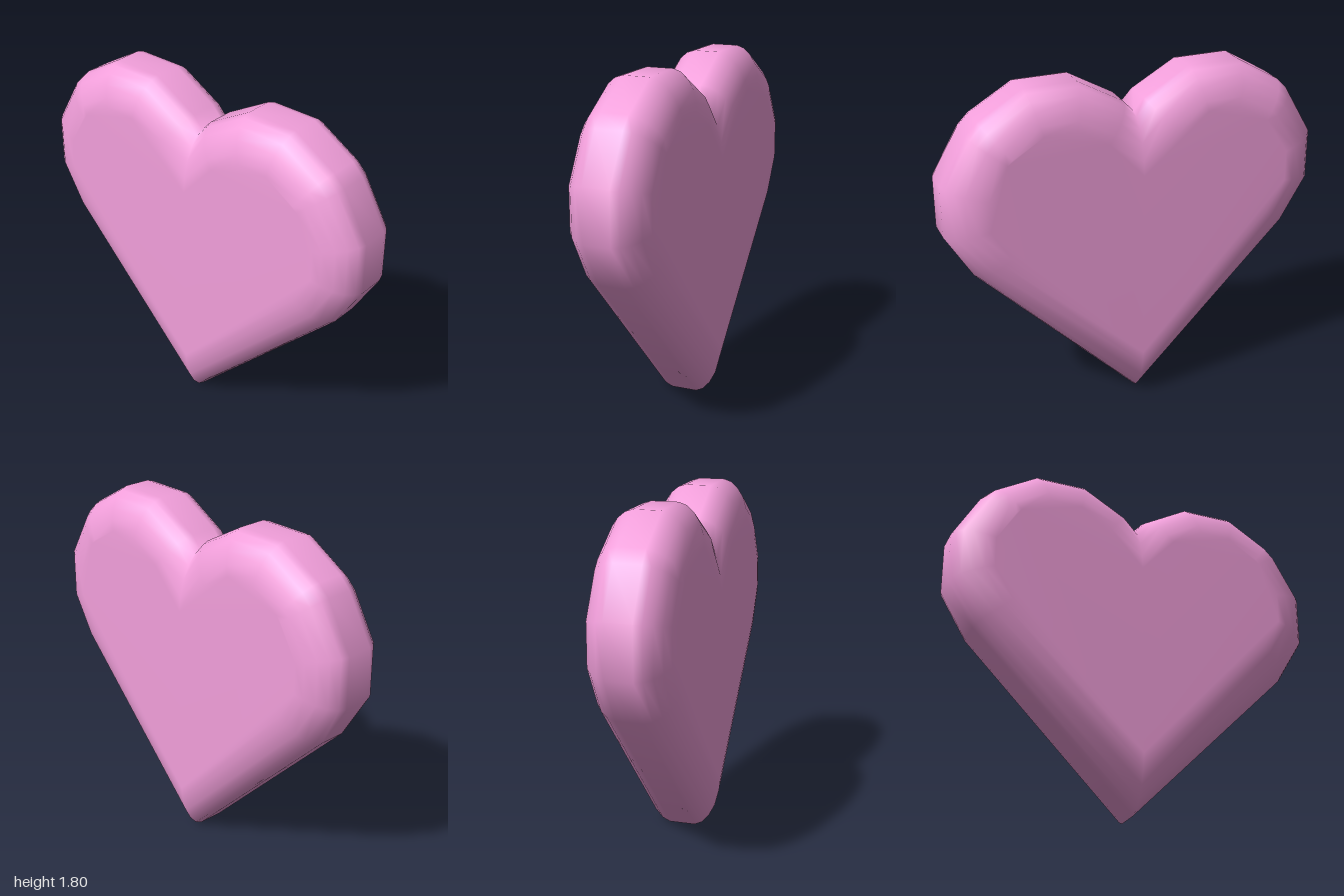
import * as THREE from 'three';

// Right half of the heart outline, from the bottom tip up to the notch
const HALF = [
  [0, 0], [0.86, 0.865], [1, 1.1], [1, 1.37], [0.86, 1.61],
  [0.8, 1.67], [0.57, 1.805], [0.295, 1.805], [0.055, 1.67], [0, 1.61],
];
// Rounded edge: [inset from the outline, z], back half then mirrored to the front
const EDGE = [[0.2, -0.213], [0.15, -0.205], [0.09, -0.183], [0.045, -0.15], [0.013, -0.11], [0, -0.07]];

// Moves every corner of a counter-clockwise outline inward by distance d
function inset(points, d) {
  const n = points.length;
  return points.map((p, i) => {
    const before = p.clone().sub(points[(i + n - 1) % n]).normalize();
    const after = points[(i + 1) % n].clone().sub(p).normalize();
    const n1 = new THREE.Vector2(-before.y, before.x);
    const n2 = new THREE.Vector2(-after.y, after.x);
    const miter = n1.clone().add(n2).divideScalar(1 + n1.dot(n2));
    return p.clone().addScaledVector(miter, d);
  });
}

function heartGeometry() {
  const mirrored = HALF.slice(1, -1).reverse().map(([x, y]) => [-x, y]);
  const outline = [...HALF, ...mirrored].map(([x, y]) => new THREE.Vector2(x, y));
  const rings = [...EDGE, ...EDGE.slice().reverse().map(([d, z]) => [d, -z])];
  const n = outline.length;
  const positions = [];
  const index = [];

  // Cross-sections from back to front
  rings.forEach(([d, z], k) => {
    inset(outline, d).forEach((p) => positions.push(p.x, p.y, z));
    if (k === 0) return;
    for (let i = 0; i < n; i++) {
      const j = (i + 1) % n;
      const a = (k - 1) * n + i, b = (k - 1) * n + j;
      index.push(a, b, b + n, a, b + n, a + n);
    }
  });

  // Flat front and back faces
  const front = (rings.length - 1) * n;
  for (const [a, b, c] of THREE.ShapeUtils.triangulateShape(inset(outline, EDGE[0][0]), [])) {
    index.push(front + a, front + b, front + c, c, b, a);
  }

  const geometry = new THREE.BufferGeometry();
  geometry.setAttribute('position', new THREE.Float32BufferAttribute(positions, 3));
  geometry.setIndex(index);
  geometry.computeVertexNormals();
  return geometry;
}

export function createModel() {
  const group = new THREE.Group();
  group.name = 'heart';
  const body = new THREE.Mesh(heartGeometry(), new THREE.MeshStandardMaterial({ color: 0xf29fdb }));
  body.name = 'heartBody';
  group.add(body);
  return group;
}
